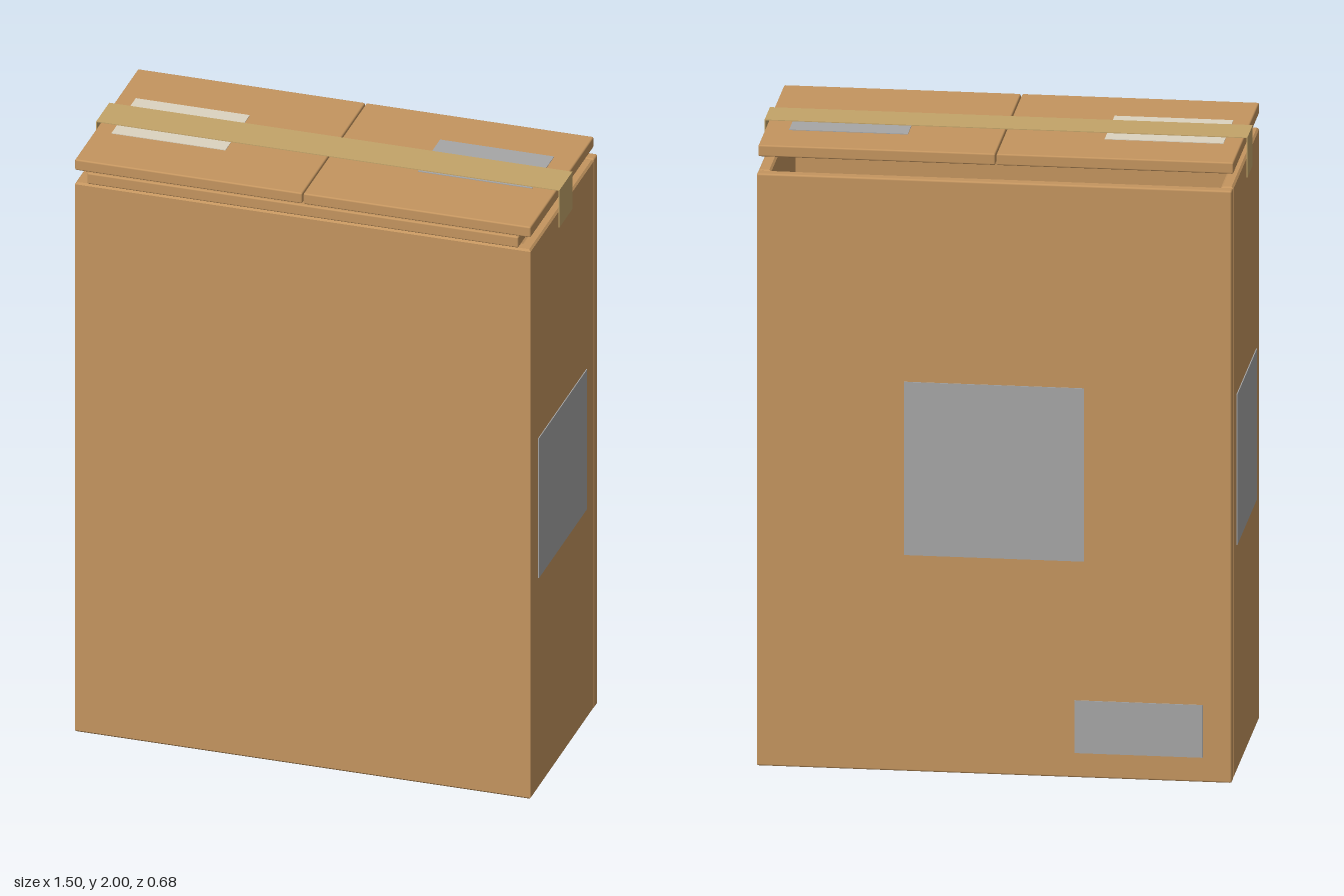
import * as THREE from 'three';
import { RoundedBoxGeometry } from 'three/addons/geometries/RoundedBoxGeometry.js';

const mat = (color) => new THREE.MeshStandardMaterial({ color });

export function createModel() {
  const model = new THREE.Group();
  const cardboard = mat(0xc4955f);
  const grey = mat(0xa6a6a6);
  const cream = mat(0xdcd3c0);
  const tapeMat = mat(0xc3a469);

  const add = (name, geometry, material) => {
    const mesh = new THREE.Mesh(geometry, material);
    mesh.name = name;
    model.add(mesh);
    return mesh;
  };

  // Box spanning [x0,x1] x [y0,y1] x [z0,z1], optionally with softened edges
  const slab = (name, [x0, x1], [y0, y1], [z0, z1], material, r = 0) => {
    const size = [x1 - x0, y1 - y0, z1 - z0];
    const geometry = r ? new RoundedBoxGeometry(...size, 2, r) : new THREE.BoxGeometry(...size);
    add(name, geometry, material).position.set((x0 + x1) / 2, (y0 + y1) / 2, (z0 + z1) / 2);
  };

  // Front and side walls: one U-shaped sheet, extruded upwards (shape y = -z)
  const b = 0.006, W = 0.74 - b, F = 0.34 - b, B = -0.296 + b, t = 0.04 - 2 * b;
  const outline = new THREE.Shape([
    [-W, -B], [-W, -F], [W, -F], [W, -B],
    [W - t, -B], [W - t, -F + t], [-W + t, -F + t], [-W + t, -B],
  ].map(([x, y]) => new THREE.Vector2(x, y)));
  const walls = new THREE.ExtrudeGeometry(outline, {
    depth: 1.915 - 2 * b, bevelEnabled: true, bevelSize: b, bevelThickness: b, bevelSegments: 1,
  });
  walls.rotateX(-Math.PI / 2).translate(0, b, 0);
  add('frontAndSideWalls', walls, cardboard);

  // Back wall and floor
  slab('backWall', [-0.74, 0.74], [0, 1.915], [-0.338, -0.3], cardboard, 0.006);
  slab('floor', [-0.7, 0.7], [0.001, 0.04], [-0.3, 0.3], cardboard);

  // Folded flaps: one inner flap at the front, two outer flaps on top
  slab('innerFlap', [-0.7, 0.7], [1.916, 1.954], [0.02, 0.34], cardboard, 0.005);
  for (const [name, x] of [['rightTopFlap', [-0.74, -0.002]], ['leftTopFlap', [0.002, 0.74]]]) {
    slab(name, x, [1.958, 1.995], [-0.298, 0.34], cardboard, 0.005);
  }

  // Paper labels
  slab('creamTopLabel', [-0.685, -0.315], [1.994, 1.997], [-0.105, 0.14], cream);
  slab('greyTopLabel', [0.295, 0.665], [1.994, 1.997], [-0.13, 0.092], grey);
  slab('largeBackLabel', [-0.28, 0.28], [0.7, 1.26], [-0.341, -0.337], grey);
  slab('smallBackLabel', [-0.65, -0.25], [0.08, 0.25], [-0.341, -0.337], grey);
  for (const [name, x] of [['rightSideLabel', [-0.743, -0.739]], ['leftSideLabel', [0.739, 0.743]]]) {
    slab(name, x, [0.735, 1.222], [-0.222, 0.263], grey);
  }

  // Packing tape over the top, hanging down both sides
  slab('topTape', [-0.752, 0.752], [1.9975, 2], [-0.045, 0.086], tapeMat);
  for (const [name, x] of [['rightTapeEnd', [-0.752, -0.749]], ['leftTapeEnd', [0.749, 0.752]]]) {
    slab(name, x, [1.87, 1.9975], [-0.045, 0.086], tapeMat);
  }

  return model;
}
